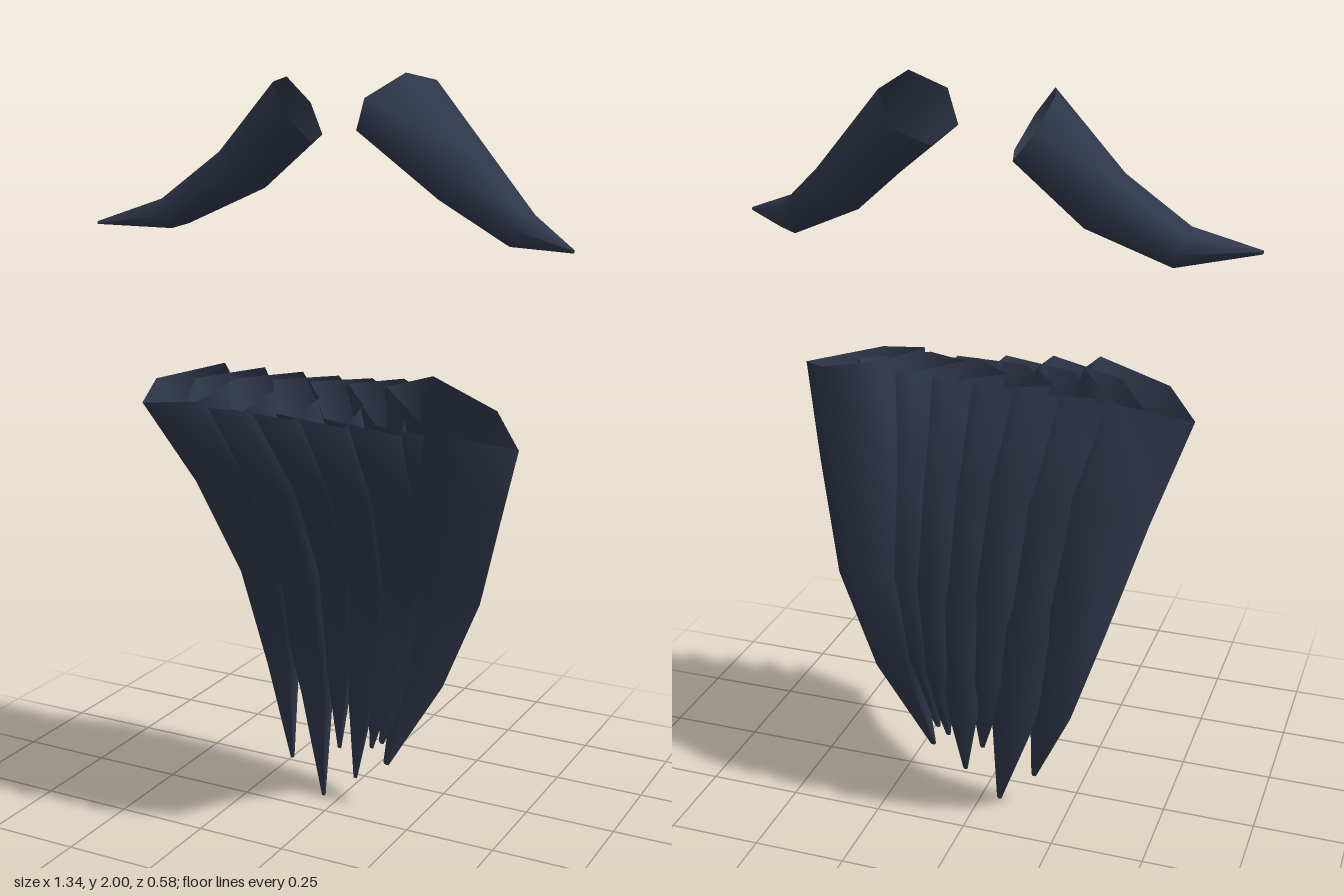
import * as THREE from 'three';

const hair = new THREE.MeshStandardMaterial({ color: 0x2f374b, side: THREE.DoubleSide });
hair.name = 'dark blue hair';

// Skins a list of equal-sized rings into a smooth, open-ended tuft.
function loft(name, rings) {
  const n = rings[0].length;
  const index = [];
  for (let i = 0; i < rings.length - 1; i++) {
    for (let j = 0; j < n; j++) {
      const k = (j + 1) % n;
      const a = i * n + j, b = i * n + k, d = a + n, c = b + n;
      index.push(a, d, c, a, c, b);
    }
  }
  const geo = new THREE.BufferGeometry();
  geo.setAttribute('position', new THREE.Float32BufferAttribute(rings.flat(2), 3));
  geo.setIndex(index);
  geo.computeVertexNormals();
  const mesh = new THREE.Mesh(geo, hair);
  mesh.name = name;
  return mesh;
}

const lerp = THREE.MathUtils.lerp;

// Beard lock cross-sections (x, z) at the two ends of the row
const sectionRight = [[-0.06, 0.13], [0.15, 0.2], [0.15, 0.03], [0, -0.19], [-0.18, -0.12]];
const sectionLeft = [[-0.02, 0.15], [0.18, 0.07], [0.06, -0.09], [-0.14, -0.15], [-0.2, 0]];

// Stations down a lock: drop fraction, sideways fraction, centre z, scale
const stations = [
  [0, 0, 0.09, 1],
  [0.22, 0.29, -0.045, 0.91],
  [0.49, 0.48, -0.15, 0.65],
  [0.75, 0.71, -0.15, 0.39],
  [1, 1, -0.09, 0.045],
];

// Tips of the seven locks (x, y)
const tips = [[-0.15, 0.1], [-0.05, 0.005], [0, 0.16], [0.05, 0.08], [0.1, 0.18], [0.13, 0.2], [0.145, 0.14]];

function beardLock(i) {
  const [tipX, tipY] = tips[i];
  const topX = -0.36 + 0.13 * i;
  const t = (i / 6) ** 2;
  const lean = 0.6 * topX;
  const rings = stations.map(([drop, side, cz, s]) => sectionRight.map(([x, z], j) => {
    const dx = lerp(x, sectionLeft[j][0], t) * s;
    const dz = lerp(z, sectionLeft[j][1], t) * s;
    const y = lerp(1.195, tipY, drop) - lean * dx - 0.13 * dz;
    return [lerp(topX, tipX, side) + dx, Math.max(0, y), cz + dz];
  }));
  return loft('beardLock' + (i + 1), rings);
}

// Curved horn-like tuft; each station is [cx, cy, cz, vx, vy, halfDepth, skew]
function brow(name, side, roll, path) {
  const rings = path.map(([cx, cy, cz, vx, vy, depth, skew]) => {
    const ring = [];
    for (let j = 0; j < 6; j++) {
      const a = (j * Math.PI) / 3 + side * roll;
      const dz = side * Math.cos(a) * depth;
      const v = Math.sin(a) / 0.866;
      ring.push([side * (cx + vx * v + skew * dz), cy + vy * v, cz + dz]);
    }
    return ring;
  });
  return loft(name, rings);
}

export function createModel() {
  const model = new THREE.Group();
  model.name = 'beardAndBrows';

  // Beard
  const beard = new THREE.Group();
  beard.name = 'beard';
  for (let i = 0; i < tips.length; i++) beard.add(beardLock(i));
  model.add(beard);

  // Brows: same outer curve, slightly different inner ends
  const outer = [
    [0.325, 1.74, -0.147, 0.04, 0.055, 0.117, -0.1],
    [0.5, 1.628, -0.085, 0.01, 0.04, 0.09, 0],
    [0.672, 1.6, 0.03, 0, 0.004, 0.008, 0],
  ];
  model.add(brow('leftBrow', 1, 0.26, [[0.147, 1.921, -0.11, 0.045, 0.072, 0.157, -0.2], ...outer]));
  model.add(brow('rightBrow', -1, -0.1, [[0.148, 1.905, -0.135, 0.05, 0.075, 0.157, -0.26], ...outer]));
  return model;
}
